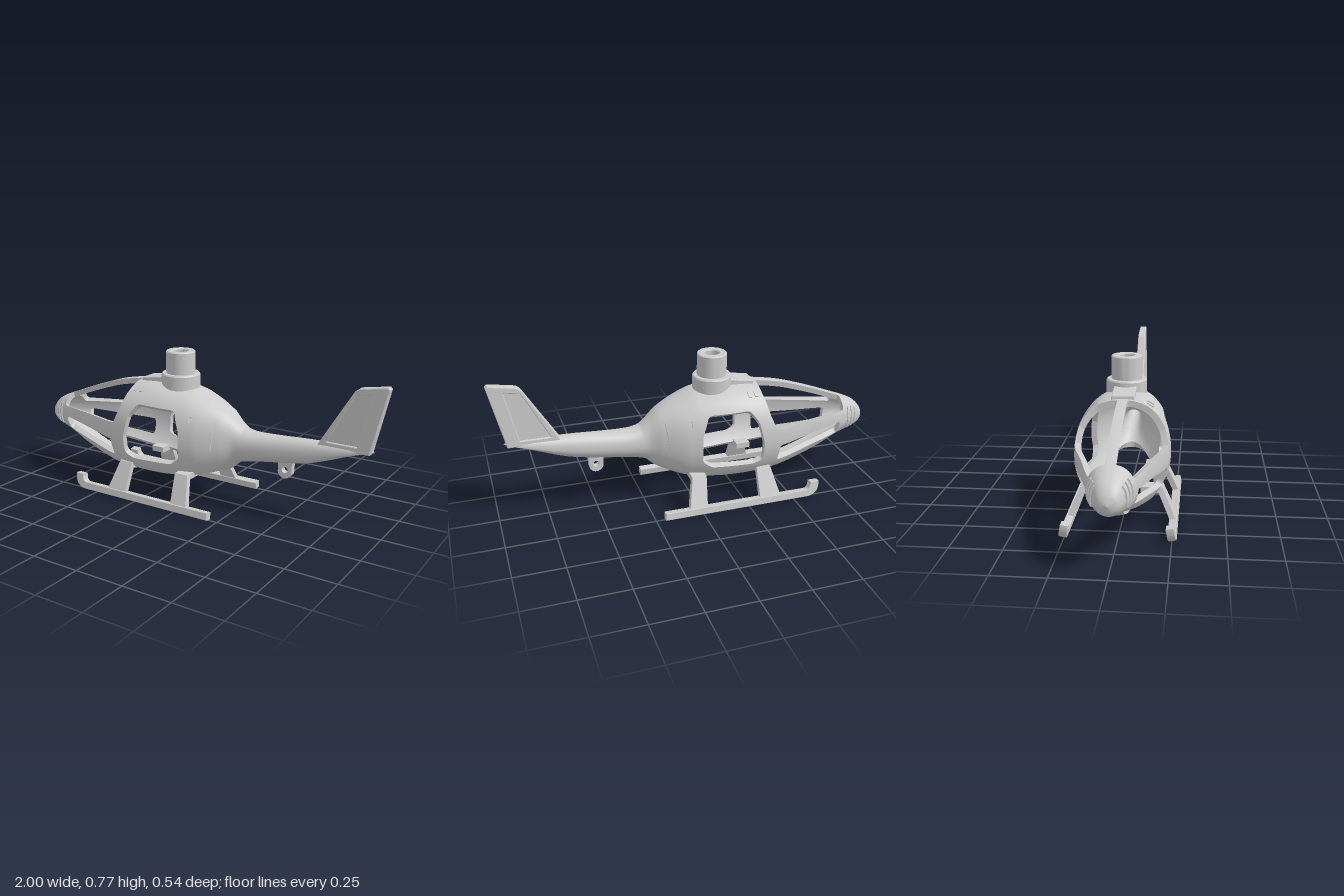
import * as THREE from 'three';
import { toCreasedNormals } from 'three/addons/utils/BufferGeometryUtils.js';

const grey = new THREE.MeshStandardMaterial({ color: 0xcccccc });

// Smooth curve y(x) through points, without overshoot
function profile(pts) {
  const d = pts.slice(1).map((p, i) => (p[1] - pts[i][1]) / (p[0] - pts[i][0]));
  const m = pts.map((p, i) => {
    if (i === 0) return d[0];
    if (i === d.length) return d[i - 1];
    return d[i - 1] * d[i] <= 0 ? 0 : (2 * d[i - 1] * d[i]) / (d[i - 1] + d[i]);
  });
  return (x) => {
    let i = 0;
    while (i < d.length - 1 && x > pts[i + 1][0]) i++;
    const h = pts[i + 1][0] - pts[i][0], t = THREE.MathUtils.clamp((x - pts[i][0]) / h, 0, 1);
    const a = t * t * (3 - 2 * t), b = t * (1 - t);
    return pts[i][1] * (1 - a) + pts[i + 1][1] * a + h * b * ((1 - t) * m[i] - t * m[i + 1]);
  };
}

// Fuselage profiles along x: roof, belly, widest height, half width, lower edge of the side walls
const roof = profile([[-1, .325], [-.985, .365], [-.95, .405], [-.9, .432], [-.85, .452], [-.63, .535], [-.47, .583],
  [-.34, .604], [-.2, .612], [-.03, .59], [.064, .556], [.17, .503], [.225, .455], [.27, .422], [.33, .413], [.65, .428], [.9, .434], [.94, .425]]);
const belly = profile([[-1, .325], [-.985, .285], [-.95, .262], [-.9, .248], [-.85, .235], [-.8, .215], [-.7, .165], [-.6, .128],
  [-.5, .1], [-.4, .082], [-.2, .07], [0, .09], [.1, .135], [.2, .205], [.25, .245], [.33, .262], [.6, .305], [.87, .4], [.94, .42]]);
const mid = profile([[-1, .325], [-.85, .335], [.1, .34], [.25, .335], [.33, .337], [.65, .367], [.94, .422]]);
const halfWidth = profile([[-1, 0], [-.985, .04], [-.96, .06], [-.92, .08], [-.85, .105], [-.665, .155], [-.4, .225], [-.3, .232],
  [-.15, .22], [.05, .178], [.16, .125], [.24, .082], [.3, .074], [.62, .052], [.9, .024], [.94, 0]]);
const sill = profile([[-1, .2], [-.9, .2], [-.85, .22], [-.8, .225], [-.7, .207], [-.55, .18], [-.4, .158], [-.15, .15], [.05, .168], [.2, .2], [.3, .2], [1, .2]]);

// Point on the hull; angle 0 is the top, off pushes outwards (or inwards if negative)
function hull(x, a, off) {
  const grow = (v) => v + Math.max(off, -.9 * v);
  const s = Math.sin(a), c = Math.cos(a), e = c > 0 ? .87 : 1;
  const m = mid(x), h = c > 0 ? grow(roof(x) - m) : grow(m - belly(x));
  return new THREE.Vector3(x, m + Math.sign(c) * Math.abs(c) ** e * h, Math.sign(s) * Math.abs(s) ** e * grow(halfWidth(x)));
}
function hullNormal(x, a, off) {
  const e = .003;
  const n = hull(x, a + e, off).sub(hull(x, a - e, off))
    .cross(hull(Math.min(x + e, .94), a, off).sub(hull(Math.max(x - e, -1), a, off)));
  return n.lengthSq() < 1e-16 ? n.set(Math.sign(x), 0, 0) : n.normalize();
}

// Sheet with thickness over the hull, kept only where field(point) > 0
function shell(field, outer, inner, x0, x1, nx, na, power = 1) {
  const pos = [], nor = [];
  const put = (p, n) => { pos.push(p.x, p.y, p.z); nor.push(n.x, n.y, n.z); };
  const node = (x, a) => ({ x, a, f: field(hull(x, a, 0)) });
  const cut = (p, q) => {
    const t = p.f / (p.f - q.f);
    return { x: p.x + (q.x - p.x) * t, a: p.a + (q.a - p.a) * t, f: 0 };
  };
  const skin = (v, off, sign) => put(hull(v.x, v.a, off), hullNormal(v.x, v.a, off).multiplyScalar(sign));
  const grid = [];
  for (let i = 0; i <= nx; i++) {
    grid.push([]);
    for (let j = 0; j <= na; j++) grid[i].push(node(x0 + (x1 - x0) * (i / nx) ** power, (j / na) * Math.PI * 2));
  }
  const addTriangle = (tri) => {
    const poly = [];
    let exit, entry;
    tri.forEach((p, k) => {
      const q = tri[(k + 1) % 3];
      if (p.f > 0) poly.push(p);
      if (p.f > 0 !== q.f > 0) {
        const c = cut(p, q);
        poly.push(c);
        if (p.f > 0) exit = c; else entry = c;
      }
    });
    for (let k = 1; k + 1 < poly.length; k++) {
      [poly[0], poly[k], poly[k + 1]].forEach((v) => skin(v, outer, 1));
      [poly[0], poly[k + 1], poly[k]].forEach((v) => skin(v, inner, -1));
    }
    if (exit) { // rim wall
      const ei = hull(exit.x, exit.a, inner), ii = hull(entry.x, entry.a, inner);
      const eo = hull(exit.x, exit.a, outer), io = hull(entry.x, entry.a, outer);
      const n = ii.clone().sub(ei).cross(io.clone().sub(ei)).normalize();
      [ei, ii, io, ei, io, eo].forEach((p) => put(p, n));
    }
  };
  for (let i = 0; i < nx; i++) for (let j = 0; j < na; j++) {
    const a = grid[i][j], b = grid[i][j + 1], c = grid[i + 1][j + 1], d = grid[i + 1][j];
    addTriangle([a, b, c]);
    addTriangle([a, c, d]);
  }
  const g = new THREE.BufferGeometry();
  g.setAttribute('position', new THREE.Float32BufferAttribute(pos, 3));
  g.setAttribute('normal', new THREE.Float32BufferAttribute(nor, 3));
  return g;
}

// Signed distance to a side-view polygon with corners rounded by r (negative inside)
function polygon(pts, r = 0) {
  return (x, y) => {
    let best = Infinity, inside = false;
    pts.forEach(([ax, ay], i) => {
      const [bx, by] = pts[(i + 1) % pts.length];
      const t = THREE.MathUtils.clamp(((x - ax) * (bx - ax) + (y - ay) * (by - ay)) / ((bx - ax) ** 2 + (by - ay) ** 2), 0, 1);
      best = Math.min(best, Math.hypot(x - ax - t * (bx - ax), y - ay - t * (by - ay)));
      if (ay > y !== by > y && x < ax + ((y - ay) / (by - ay)) * (bx - ax)) inside = !inside;
    });
    return (inside ? -best : best) - r;
  };
}
const rect = (x, y, w, h) => polygon([[x - w, y - h], [x + w, y - h], [x + w, y + h], [x - w, y + h]]);

const windscreen = polygon([[-.835, .405], [-.84, 1], [-.36, 1], [-.365, .57], [-.385, .48], [-.415, .41], [-.6, .41]], .012);
const lowerWindow = polygon([[-.81, .325], [-.44, .295], [-.435, .225], [-.8, .277]], .012);
const door = polygon([[-.305, .26], [-.28, .25], [-.08, .25], [-.047, .275], [-.047, .4], [-.075, .475], [-.25, .482], [-.28, .44], [-.305, .33]], .03);

function hullField(p) {
  const keel = p.y < mid(p.x) ? Math.min(.045 - Math.abs(p.z), -.41 - p.x) : -1;
  const mastHole = p.y > .5 ? Math.hypot(p.x + .125, p.z) - .06 : 1;
  return Math.min(
    Math.max(windscreen(p.x, p.y), .024 - Math.abs(p.z)),
    lowerWindow(p.x, p.y), door(p.x, p.y), mastHole,
    Math.max(p.y - sill(p.x), keel));
}

function extrude(points, depth, hole, bevel = .005) {
  const s = new THREE.Shape(points.map(([x, y]) => new THREE.Vector2(x, y)));
  if (hole) s.holes.push(new THREE.Path(hole.map(([x, y]) => new THREE.Vector2(x, y))));
  return new THREE.ExtrudeGeometry(s, { depth: depth - 2 * bevel, bevelThickness: bevel, bevelSize: bevel, bevelOffset: -bevel, bevelSegments: 2 })
    .translate(0, 0, bevel - depth / 2);
}

export function createModel() {
  const model = new THREE.Group();
  const add = (name, geometry) => {
    const mesh = new THREE.Mesh(geometry, grey);
    mesh.name = name;
    model.add(mesh);
    return mesh;
  };

  // Hollow cabin, keel strip and tail boom
  add('fuselage', shell(hullField, 0, -.03, -1, .94, 180, 88, 1.4));

  // Raised rear panels, nose ribs and roof vents
  const panel = polygon([[.02, .497], [.155, .47], [.14, .315], [.03, .2], [.012, .26], [.012, .43]]);
  const latch = rect(.04, .465, .009, .013);
  add('rearPanels', shell((p) => Math.min(-panel(p.x, p.y), latch(p.x, p.y)), .006, -.002, 0, .17, 24, 88));
  const ribs = [rect(-.932, .35, .007, .04), rect(-.907, .345, .007, .055), rect(-.882, .345, .007, .06)];
  add('noseRibs', shell((p) => -Math.min(...ribs.map((r) => r(p.x, p.y))), .007, -.002, -.945, -.865, 30, 88));
  const vents = [rect(-.317, .572, .009, .01), rect(-.283, .574, .009, .01)];
  add('roofVents', shell((p) => -Math.min(...vents.map((r) => r(p.x, p.y))), .005, -.002, -.335, -.265, 24, 120));

  // Rotor mast with through bore
  const mast = [[.038, .55], [.1, .55], [.1, .653], [.095, .66], [.076, .66], [.076, .77], [.071, .775], [.043, .775], [.038, .77], [.038, .55]];
  add('rotorMast', toCreasedNormals(new THREE.LatheGeometry(mast.map(([r, y]) => new THREE.Vector2(r, y)), 48), .5)).position.x = -.125;
  add('roofIntake', extrude([[-.34, .575], [-.17, .575], [-.17, .636], [-.21, .636], [-.335, .616]], .11));

  // Tail fin: frame with a recessed panel, thinner towards the top
  const fin = [[.66, .41], [.925, .41], [.998, .728], [.988, .738], [.855, .715], [.835, .7]];
  const recess = [[.712, .44], [.862, .44], [.918, .694], [.84, .682]];
  const taper = (g) => {
    const p = g.attributes.position;
    for (let i = 0; i < p.count; i++) p.setZ(i, p.getZ(i) * (1.1 - (p.getY(i) - .43) * 1.2));
    g.computeVertexNormals();
    return g;
  };
  add('tailFinFrame', taper(extrude(fin, .052, recess)));
  add('tailFinPanel', taper(extrude(recess.map(([x, y]) => [.82 + (x - .82) * 1.1, .56 + (y - .56) * 1.06]), .034)));

  // Eyelet under the boom
  const loop = new THREE.Shape().moveTo(.455, .31).lineTo(.46, .245).absarc(.495, .245, .037, Math.PI, 2 * Math.PI).lineTo(.535, .31);
  loop.holes.push(new THREE.Path().absarc(.495, .252, .016, 0, 2 * Math.PI, true));
  add('tailEyelet', new THREE.ExtrudeGeometry(loop, { depth: .034, bevelEnabled: false, curveSegments: 16 }).translate(0, 0, -.017));

  // Landing gear on both sides
  const railShape = new THREE.Shape().moveTo(.203, 0).lineTo(.203, .038).lineTo(-.57, .038)
    .quadraticCurveTo(-.592, .04, -.594, .08).lineTo(-.642, .08).quadraticCurveTo(-.645, .005, -.575, 0);
  const struts = [['frontStrut', -.425, -.31, -.385, -.31], ['rearStrut', -.02, .075, -.035, .04]];
  for (const s of [1, -1]) {
    const side = s > 0 ? 'left' : 'right';
    const rail = new THREE.ExtrudeGeometry(railShape, { depth: .032, bevelThickness: .003, bevelSize: .003, bevelOffset: -.003, bevelSegments: 2 });
    add(side + 'SkidRail', rail.translate(0, 0, -.016).rotateX(-s * .17)).position.set(0, .003, s * .254);
    for (const [name, b0, b1, t0, t1] of struts) {
      const g = new THREE.BoxGeometry(1, 1, 1), p = g.attributes.position;
      for (let i = 0; i < p.count; i++) {
        const t = p.getY(i) + .5, u = p.getX(i) + .5, mix = THREE.MathUtils.lerp;
        p.setXYZ(i, mix(mix(b0, b1, u), mix(t0, t1, u), t), mix(.03, .185, t), s * mix(.25, .18, t) + p.getZ(i) * .03);
      }
      g.computeVertexNormals();
      add(side + name, g);
      add(side + name + 'Foot', new THREE.BoxGeometry(t1 - t0, .03, .1)).position.set((t0 + t1) / 2, .17, s * .14);
    }
  }
  return model;
}
